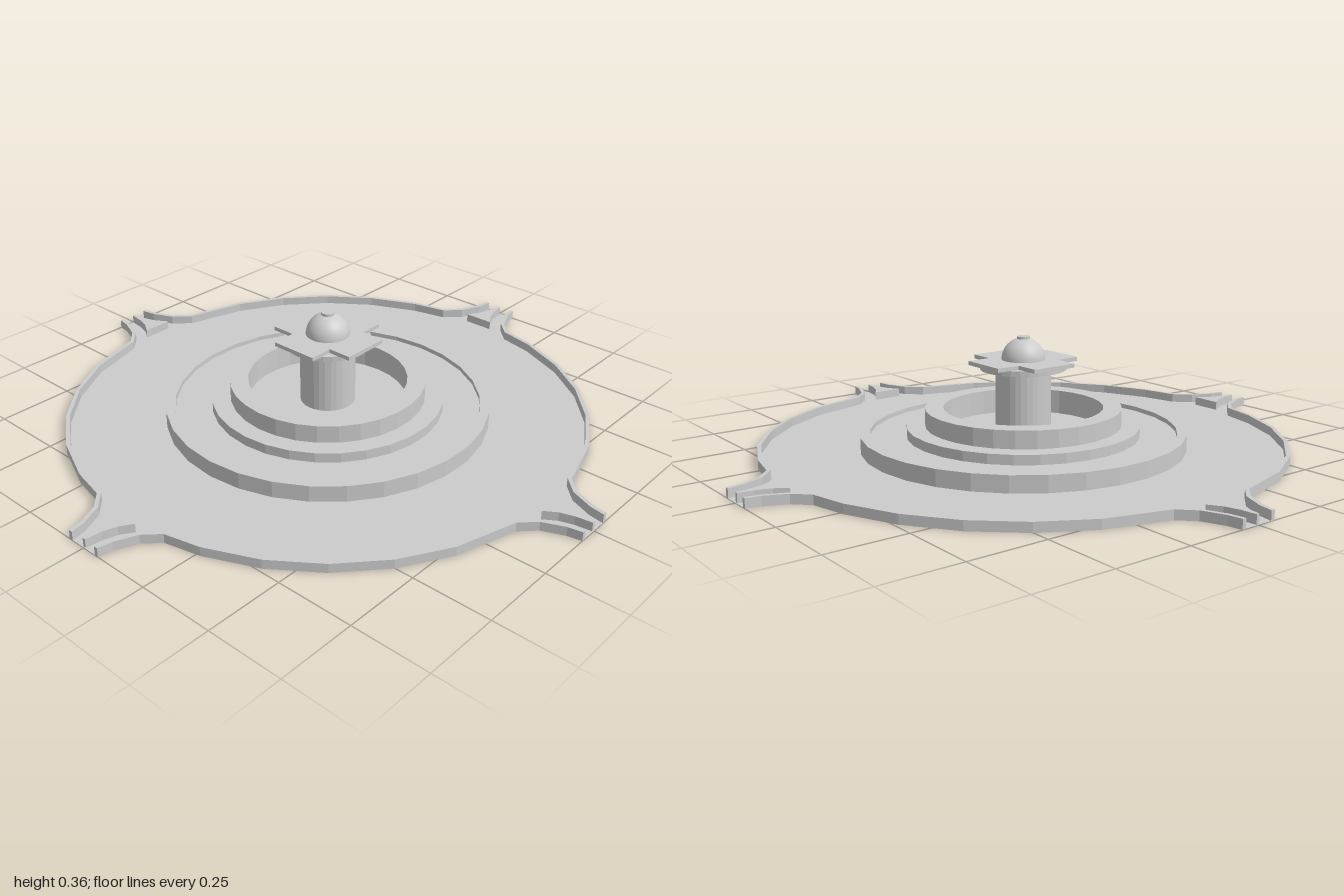
import * as THREE from 'three';

const RIM = 0.03, SEG = 30;
const flat = new THREE.MeshStandardMaterial({ color: 0xcccccc, flatShading: true, side: THREE.DoubleSide });
const smooth = new THREE.MeshStandardMaterial({ color: 0xcccccc });
const V = (x, y) => new THREE.Vector2(x, y);

function add(parent, name, geometry, y = 0, material = flat) {
  const mesh = new THREE.Mesh(geometry, material);
  mesh.name = name;
  mesh.position.y = y;
  parent.add(mesh);
  return mesh;
}

// Lay a shape drawn in x, z down on the ground plane
const lay = (geometry) => geometry.rotateX(-Math.PI / 2);

// Edge of the basin in one quadrant, from the +x spout to the +z spout
function quadrantEdge() {
  const flare = [[0.062, 1], [0.07, 0.955], [0.1, 0.885], [0.147, 0.838]];
  const pts = flare.map(([w, r]) => V(r, w));
  for (const deg of [12, 24, 36, 48, 60, 72]) {
    const a = THREE.MathUtils.degToRad(deg);
    if (deg > 12) pts.push(V(0.853 * Math.cos(a), 0.853 * Math.sin(a)));
  }
  return pts.concat(flare.slice().reverse().map(([w, r]) => V(w, r)));
}

// Move an open path sideways, towards the basin centre
function inset(pts, d) {
  return pts.map((p, i) => {
    const t = pts[Math.min(i + 1, pts.length - 1)].clone().sub(pts[Math.max(i - 1, 0)]).normalize();
    const end = i === 0 || i === pts.length - 1;
    if (end) return i === 0 ? V(p.x, p.y - d) : V(p.x - d, p.y);
    return V(p.x - t.y * d, p.y + t.x * d);
  });
}

// Upright wall along a closed outline
function wall(pts, height) {
  const pos = [], index = [], n = pts.length;
  pts.forEach((p) => pos.push(p.x, 0, -p.y, p.x, height, -p.y));
  for (let i = 0; i < n; i++) {
    const a = 2 * i, b = 2 * ((i + 1) % n);
    index.push(a, b, b + 1, a, b + 1, a + 1);
  }
  const g = new THREE.BufferGeometry();
  g.setAttribute('position', new THREE.Float32BufferAttribute(pos, 3));
  g.setIndex(index);
  g.computeVertexNormals();
  return g;
}

export function createModel() {
  const model = new THREE.Group();
  model.name = 'fountain';

  // Flow divider outline in the +x spout: wide inside, curving to a thin tip
  const half = [[0.86, 0.052], [0.9, 0.026], [0.945, 0.012], [0.997, 0.005]];
  const divider = [...half.map(([x, y]) => V(x, -y)), ...half.slice().reverse().map(([x, y]) => V(x, y))];

  // Raised rim in four pieces, open at the spouts
  const edge = quadrantEdge();
  const inner = inset(edge, 0.013);
  const outline = [];
  const dividers = [];
  for (let i = 0; i < 4; i++) {
    const a = i * Math.PI / 2, sx = i === 1 || i === 2 ? -1 : 1, sy = i > 1 ? -1 : 1;
    const place = (p) => V(p.x * sx, p.y * sy);
    const ring = [...edge, ...inner.slice().reverse()].map(place);
    add(model, 'basinRim', lay(new THREE.ExtrudeGeometry(new THREE.Shape(ring), { depth: RIM, bevelEnabled: false })));
    const run = edge.map(place);
    outline.push(...(sx * sy < 0 ? run.reverse() : run));
    dividers.push(divider.map((p) => p.clone().rotateAround(V(0, 0), a)));
  }

  // Basin floor, open under the tiers and the hollow dividers
  const floor = new THREE.Shape(outline);
  floor.holes.push(new THREE.Path(Array.from({ length: SEG }, (_, i) => {
    const a = i / SEG * 2 * Math.PI;
    return V(0.53 * Math.sin(a), -0.53 * Math.cos(a));
  })));
  dividers.forEach((d) => floor.holes.push(new THREE.Path(d)));
  add(model, 'basinFloor', lay(new THREE.ShapeGeometry(floor)), 0.001);

  dividers.forEach((d) => {
    const group = new THREE.Group();
    group.name = 'spoutDivider';
    add(group, 'dividerWall', wall(d, RIM));
    add(group, 'dividerTop', lay(new THREE.ShapeGeometry(new THREE.Shape(d))), RIM);
    model.add(group);
  });

  // Hollow tiers with the central column, as one thin profile
  const profile = [
    [0.53, 0], [0.53, 0.055], [0.5, 0.055], [0.5, 0.04], [0.38, 0.04], [0.38, 0.072],
    [0.32, 0.072], [0.32, 0.13], [0.26, 0.13], [0.26, 0.05], [0.09, 0.05], [0.09, 0.257],
  ].map(([r, y]) => V(r, y));
  add(model, 'tiersAndColumn', new THREE.LatheGeometry(profile, SEG));

  // Column head: round collar, cross-shaped slab, dome and finial
  add(model, 'collar', new THREE.CylinderGeometry(0.14, 0.14, 0.018, SEG), 0.264);
  const l = 0.16, w = 0.08;
  const cross = [];
  for (let i = 0; i < 4; i++) {
    for (const [x, y] of [[l, -w], [l, w], [w, w]]) cross.push(V(x, y).rotateAround(V(0, 0), i * Math.PI / 2));
  }
  add(model, 'crossSlab', lay(new THREE.ExtrudeGeometry(new THREE.Shape(cross), { depth: 0.013, bevelEnabled: false })), 0.273);
  add(model, 'dome', new THREE.SphereGeometry(0.071, 32, 12, 0, Math.PI * 2, 0, Math.PI / 2), 0.285, smooth);
  add(model, 'finial', new THREE.CylinderGeometry(0.021, 0.021, 0.02, 16), 0.351);

  return model;
}
